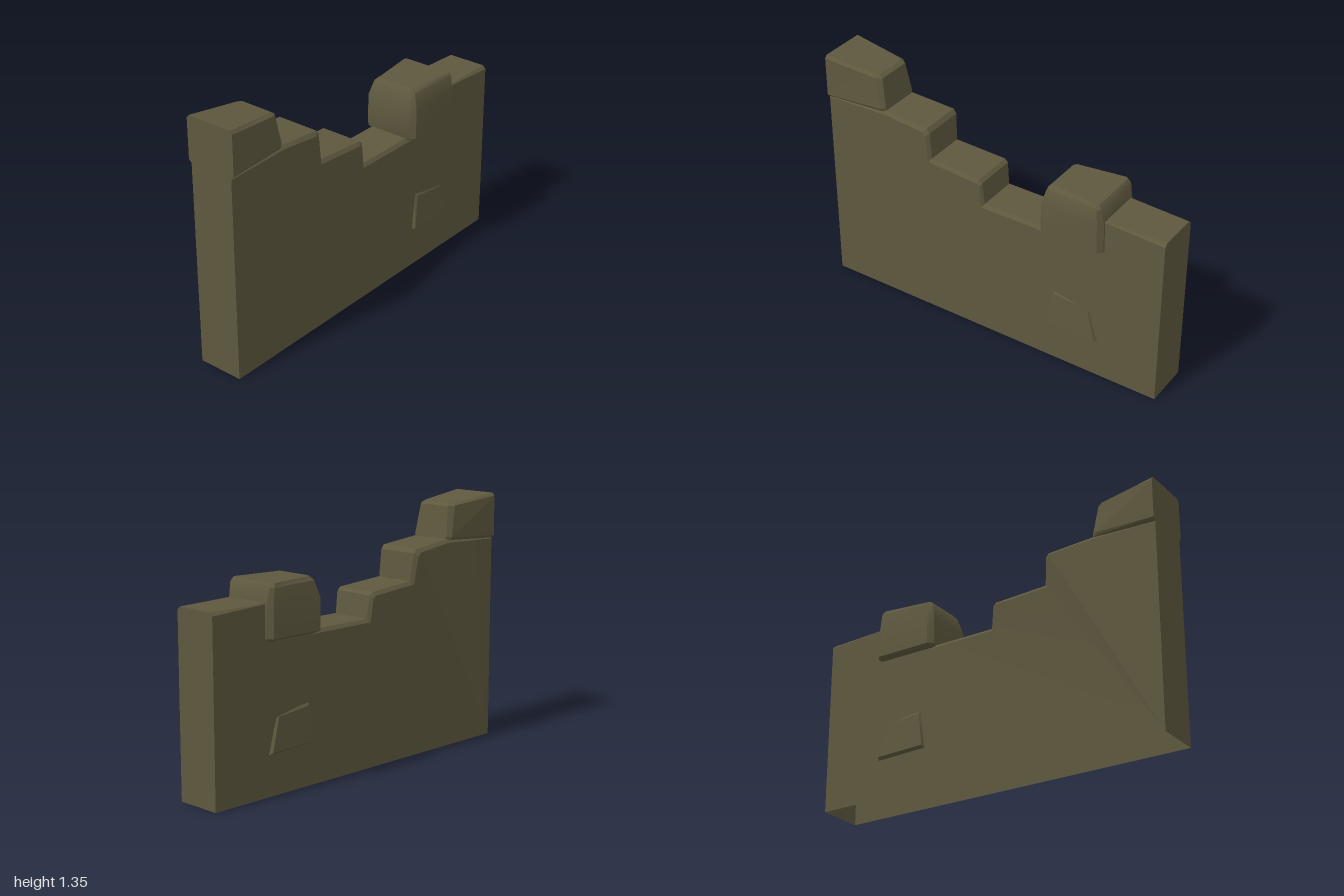
import * as THREE from 'three';
import { toCreasedNormals } from 'three/addons/utils/BufferGeometryUtils.js';

const stone = new THREE.MeshStandardMaterial({ color: 0x5e583e, side: THREE.DoubleSide });
stone.name = 'mossy stone';

// Turns a list of polygons (arrays of [x, y, z]) into a mesh by fanning each one.
function polyMesh(name, polys, crease) {
  const pos = [];
  for (const p of polys) {
    for (let i = 1; i < p.length - 1; i++) pos.push(...p[0], ...p[i], ...p[i + 1]);
  }
  const geo = new THREE.BufferGeometry();
  geo.setAttribute('position', new THREE.Float32BufferAttribute(pos, 3));
  const mesh = new THREE.Mesh(toCreasedNormals(geo, crease), stone);
  mesh.name = name;
  return mesh;
}

// Skins a stack of rings; each ring runs counterclockwise seen from its end cap.
function loft(name, rings, crease = 0.1) {
  const polys = [[...rings[0]].reverse(), rings[rings.length - 1]];
  for (let r = 0; r < rings.length - 1; r++) {
    const a = rings[r], b = rings[r + 1], n = a.length;
    for (let i = 0; i < n; i++) {
      const j = (i + 1) % n;
      polys.push([a[i], a[j], b[j], b[i]]);
    }
  }
  return polyMesh(name, polys, crease);
}

// Broken wall: stepped silhouette with bevelled upper edges, open underneath.
function wall() {
  const Z = 0.125;
  // face x, face y, top x, top y, back face depth, bevel depth
  const steps = [
    [-1, 1.10, -1, 1.115, Z, 0.015],
    [-0.64, 1.112, -0.64, 1.13, Z, 0.015],
    [-0.405, 1.088, -0.39, 1.107, 0.145, 0.018],
    [-0.39, 1.07, -0.372, 1.085, 0.143, 0.018],
    [-0.375, 0.922, -0.36, 0.94, Z, 0.015],
    [-0.075, 0.902, -0.068, 0.921, 0.137, 0.015],
    [-0.06, 0.888, -0.05, 0.905, 0.135, 0.015],
    [-0.05, 0.767, -0.035, 0.786, Z, 0.015],
    [0.33, 0.767, 0.33, 0.786, Z, 0.015],
    [0.62, 0.80, 0.62, 0.82, Z, 0.015],
    [0.66, 0.958, 0.66, 0.962, Z, 0.003],
    [1, 0.943, 1, 0.96, Z, 0.018],
  ];
  const front = steps.map(s => [s[0], s[1], Z]);
  const topFront = steps.map(s => [s[2], s[3], Z - s[5]]);
  const topBack = steps.map(s => [s[2], s[3], s[5] - s[4]]);
  const back = steps.map(s => [s[0], s[1], -s[4]]);
  const polys = [];
  const lines = [front, topFront, topBack, back];
  for (let k = 0; k < 3; k++) {
    for (let i = 0; i < steps.length - 1; i++) {
      polys.push([lines[k][i], lines[k][i + 1], lines[k + 1][i + 1], lines[k + 1][i]]);
    }
  }
  // Large front and back faces
  const f = [[-1, 0, Z], [1, 0, Z], ...[...front].reverse()];
  const b = [[-1, 0, -Z], [1, 0, -Z], ...[...back].reverse()];
  const tris = THREE.ShapeUtils.triangulateShape(f.map(p => new THREE.Vector2(p[0], p[1])), []);
  for (const [i, j, k] of tris) polys.push([f[i], f[j], f[k]], [b[k], b[j], b[i]]);
  // Ends
  const n = steps.length - 1;
  polys.push([f[1], b[1], back[n], topBack[n], topFront[n], front[n]]);
  polys.push([b[0], f[0], front[0], topFront[0], topBack[0], back[0]]);
  return polyMesh('wall', polys, 0.15);
}

// Tall end stone: flat at the wall end, sloping and bevelled on the inner side.
function endStone() {
  // left y, slope, bevel start x, inner x, depth at left, depth at bevel, depth at inner face
  const rows = [
    [1.105, 0.06, -0.66, -0.64, 0.125, 0.122, 0.105],
    [1.12, 0.06, -0.665, -0.642, 0.141, 0.13, 0.112],
    [1.335, -0.1, -0.70, -0.668, 0.141, 0.118, 0.095],
    [1.35, -0.11, -0.715, -0.69, 0.127, 0.1, 0.09],
  ];
  return loft('endStone', rows.map(([y, s, xa, xb, z0, z1, z2]) =>
    [[-1, z0], [xa, z1], [xb, z2], [xb, -z2], [xa, -z1], [-1, -z0]]
      .map(([x, z]) => [x, y + s * (x + 1), z])));
}

// Rounded cap stone straddling the wall.
function capStone() {
  // y, left x, right x, depth at left, depth at right, corner cut
  const rows = [
    [0.772, 0.32, 0.67, 0.125, 0.125, 0.02],
    [0.788, 0.313, 0.674, 0.159, 0.159, 0.025],
    [0.95, 0.315, 0.672, 0.159, 0.159, 0.025],
    [1.035, 0.34, 0.657, 0.132, 0.157, 0.018],
    [1.055, 0.358, 0.64, 0.108, 0.146, 0.012],
  ];
  return loft('capStone', rows.map(([y, a, b, zl, zr, c]) => [
    [a, y, zl - c], [a + c, y, zl], [b - c, y, zr], [b, y, zr - c],
    [b, y, c - zr], [b - c, y, -zr], [a + c, y, -zl], [a, y, c - zl],
  ]), 0.55);
}

// Small bevelled stone jutting from a wall face.
function faceStone(name, side) {
  const base = [[0.363, 0.218, 0.12], [0.66, 0.208, 0.12], [0.61, 0.388, 0.12], [0.385, 0.435, 0.12]];
  const top = [[0.373, 0.232, 0.143], [0.645, 0.224, 0.143], [0.597, 0.395, 0.135], [0.4, 0.415, 0.134]];
  const rings = [base, top].map(r => {
    const p = r.map(([x, y, z]) => [x, y, z * side]);
    return side > 0 ? p : p.reverse();
  });
  return loft(name, rings);
}

export function createModel() {
  const group = new THREE.Group();
  group.name = 'ruinedWall';
  group.add(wall(), endStone(), capStone(), faceStone('frontStone', 1), faceStone('backStone', -1));
  return group;
}
